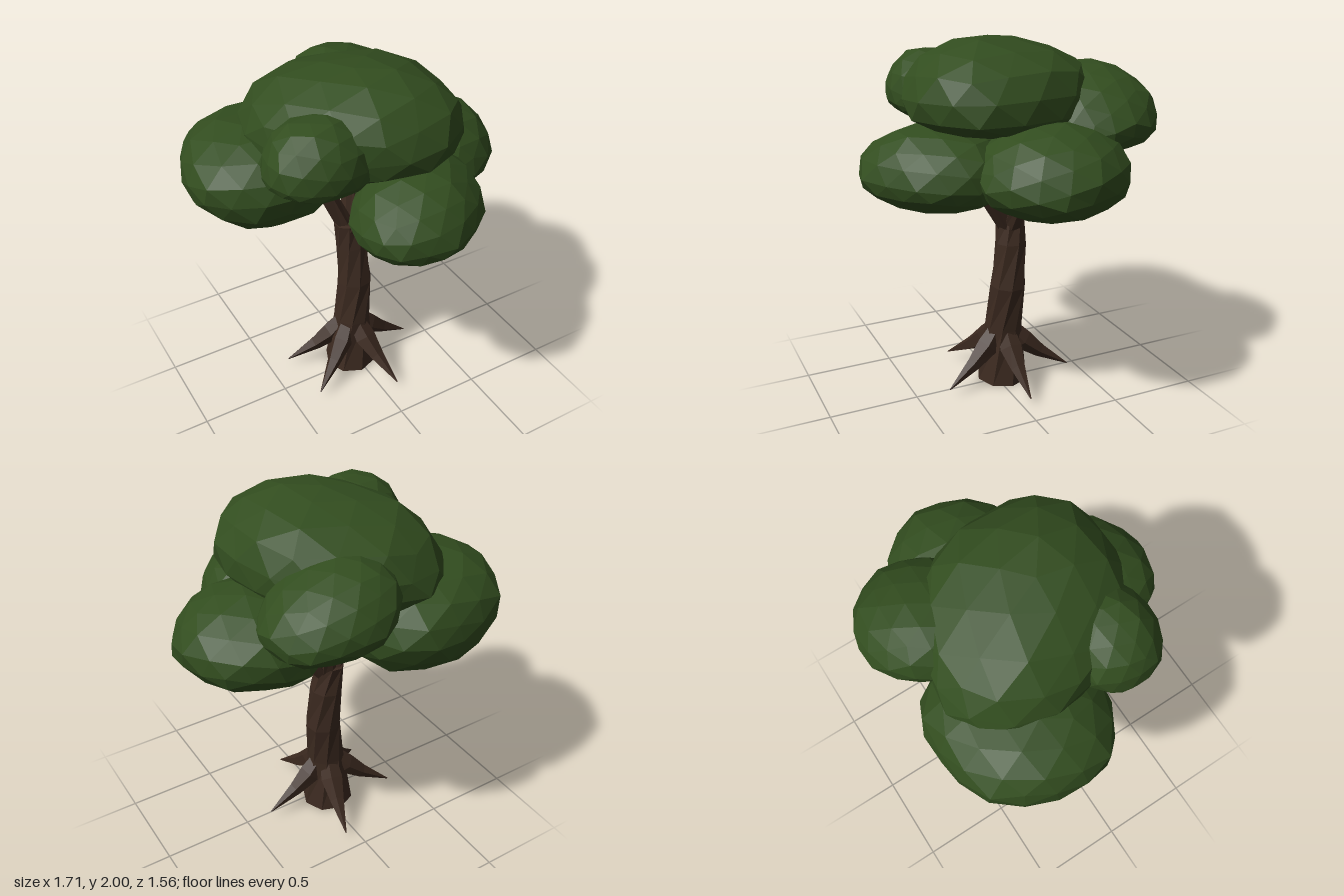
import * as THREE from 'three';

const V = (p) => new THREE.Vector3(...p);

// Faceted look: every face gets its own normal
function facet(geometry) {
  const g = geometry.index ? geometry.toNonIndexed() : geometry;
  g.computeVertexNormals();
  return g;
}

// Tapered tube through points [x, y, z, radius]; rings turn gradually by twist
function limb(points, sides, twist = 0) {
  const n = points.length - 1;
  const g = new THREE.CylinderGeometry(1, 1, 1, sides, n);
  const up = new THREE.Vector3(0, 1, 0);
  const rings = points.map((p, i) => {
    const a = points[Math.max(i - 1, 0)], b = points[Math.min(i + 1, n)];
    const dir = V(b.slice(0, 3)).sub(V(a.slice(0, 3))).normalize();
    const turn = new THREE.Quaternion().setFromAxisAngle(up, i * twist);
    const q = new THREE.Quaternion().setFromUnitVectors(up, dir).multiply(turn);
    return { q, c: V(p.slice(0, 3)), r: p[3] };
  });
  const pos = g.attributes.position, v = new THREE.Vector3();
  for (let i = 0; i < pos.count; i++) {
    v.fromBufferAttribute(pos, i);
    const ring = rings[Math.round((v.y + 0.5) * n)];
    v.y = 0;
    v.multiplyScalar(ring.r).applyQuaternion(ring.q).add(ring.c);
    pos.setXYZ(i, v.x, v.y, v.z);
  }
  return facet(g);
}

// Lumpy ball fitted to a box, with its widest level at height mid.
// power: 2 is round, more is boxier; tilt: rise towards +x and +z;
// skew: lean of the outline seen from above
function leafClump({ x, y, z, mid, seed, power = 2, tilt = [0, 0], skew = 0 }) {
  const g = new THREE.IcosahedronGeometry(1, 2);
  g.rotateZ(seed * 0.7).rotateY(seed * 1.3);
  const pos = g.attributes.position, v = new THREE.Vector3();
  for (let i = 0; i < pos.count; i++) {
    v.fromBufferAttribute(pos, i);
    const bump = Math.sin(v.x * 5 + seed) * Math.sin(v.y * 4 + seed * 2) * Math.sin(v.z * 5 + seed * 3);
    const sum = v.toArray().reduce((s, c) => s + Math.abs(c) ** power, 0);
    v.multiplyScalar((1 + 0.05 * bump) / sum ** (1 / power));
    pos.setXYZ(i, v.x + skew * v.z, v.y + tilt[0] * v.x + tilt[1] * v.z, v.z + skew * v.x);
  }
  g.computeBoundingBox();
  const { min, max } = g.boundingBox;
  const fit = (t, a, b, [lo, hi]) => lo + ((t - a) / (b - a)) * (hi - lo);
  for (let i = 0; i < pos.count; i++) {
    v.fromBufferAttribute(pos, i);
    const h = v.y > 0 ? mid + (v.y / max.y) * (y[1] - mid) : mid - (v.y / min.y) * (mid - y[0]);
    pos.setXYZ(i, fit(v.x, min.x, max.x, x), h, fit(v.z, min.z, max.z, z));
  }
  return facet(g);
}

export function createModel() {
  const tree = new THREE.Group();
  tree.name = 'tree';
  const bark = new THREE.MeshStandardMaterial({ color: 0x3c2a20 });
  bark.name = 'barkBrown';
  const leaf = new THREE.MeshStandardMaterial({ color: 0x324d1f });
  leaf.name = 'leafGreen';
  const add = (name, geometry, material) => {
    const mesh = new THREE.Mesh(geometry, material);
    mesh.name = name;
    tree.add(mesh);
  };

  // Trunk: slightly bent and twisted
  add('trunk', limb([
    [-0.03, 0.01, -0.045, 0.15],
    [-0.015, 0.34, -0.045, 0.105],
    [0.012, 0.6, -0.06, 0.102],
    [0.005, 0.85, -0.08, 0.088],
    [-0.015, 1.01, -0.085, 0.078],
  ], 8, 0.3), bark);

  // Roots: spikes that leave the trunk and bend down to the ground
  const rootTips = [[0.36, -0.04], [0.08, 0.33], [-0.35, 0.17], [-0.39, -0.17], [0.08, -0.42]];
  rootTips.forEach(([tx, tz], i) => {
    const at = (t, y, r) => [-0.02 + (tx + 0.02) * t, y, -0.045 + (tz + 0.045) * t, r];
    add('root' + (i + 1), limb([
      at(0.12, 0.32, 0.05), at(0.3, 0.235, 0.065), at(0.56, 0.155, 0.042), at(1, 0.05, 0.003),
    ], 5), bark);
  });

  // Branches: from the top of the trunk into the leaf clumps
  const branches = {
    rightBranch: [[-0.12, 1.2, -0.12], [-0.28, 1.38, -0.2]],
    leftBranch: [[0.16, 1.18, -0.08], [0.33, 1.36, -0.08]],
    frontBranch: [[0.02, 1.18, 0.09], [0.08, 1.36, 0.25]],
    backBranch: [[0.04, 1.22, -0.16], [0.12, 1.6, -0.3]],
  };
  for (const [name, [middle, end]] of Object.entries(branches)) {
    add(name, limb([[0, 0.92, -0.08, 0.052], [...middle, 0.047], [...end, 0.04]], 6, 0.15), bark);
  }

  // Canopy: six overlapping clumps, flatter underneath
  const clumps = {
    crownClump: { x: [-0.55, 0.49], y: [1.48, 2], z: [-0.6, 0.52], mid: 1.65, seed: 1, power: 2.25, tilt: [0.06, 0.14], skew: 0.08 },
    lowerRightClump: { x: [-0.86, 0.05], y: [1.12, 1.68], z: [-0.73, 0.15], mid: 1.41, seed: 2, power: 2.2, tilt: [-0.1, 0], skew: -0.06 },
    lowerLeftClump: { x: [0.05, 0.85], y: [1.15, 1.63], z: [-0.48, 0.31], mid: 1.36, seed: 3, power: 1.95 },
    lowerFrontClump: { x: [-0.27, 0.48], y: [1.16, 1.59], z: [0.05, 0.78], mid: 1.34, seed: 4, skew: -0.12 },
    upperRightClump: { x: [-0.63, -0.08], y: [1.53, 1.9], z: [0.0, 0.48], mid: 1.65, seed: 5, power: 2.2 },
    upperBackClump: { x: [-0.12, 0.57], y: [1.43, 1.86], z: [-0.78, -0.13], mid: 1.61, seed: 6, tilt: [-0.35, 0] },
  };
  for (const [name, clump] of Object.entries(clumps)) add(name, leafClump(clump), leaf);

  return tree;
}
